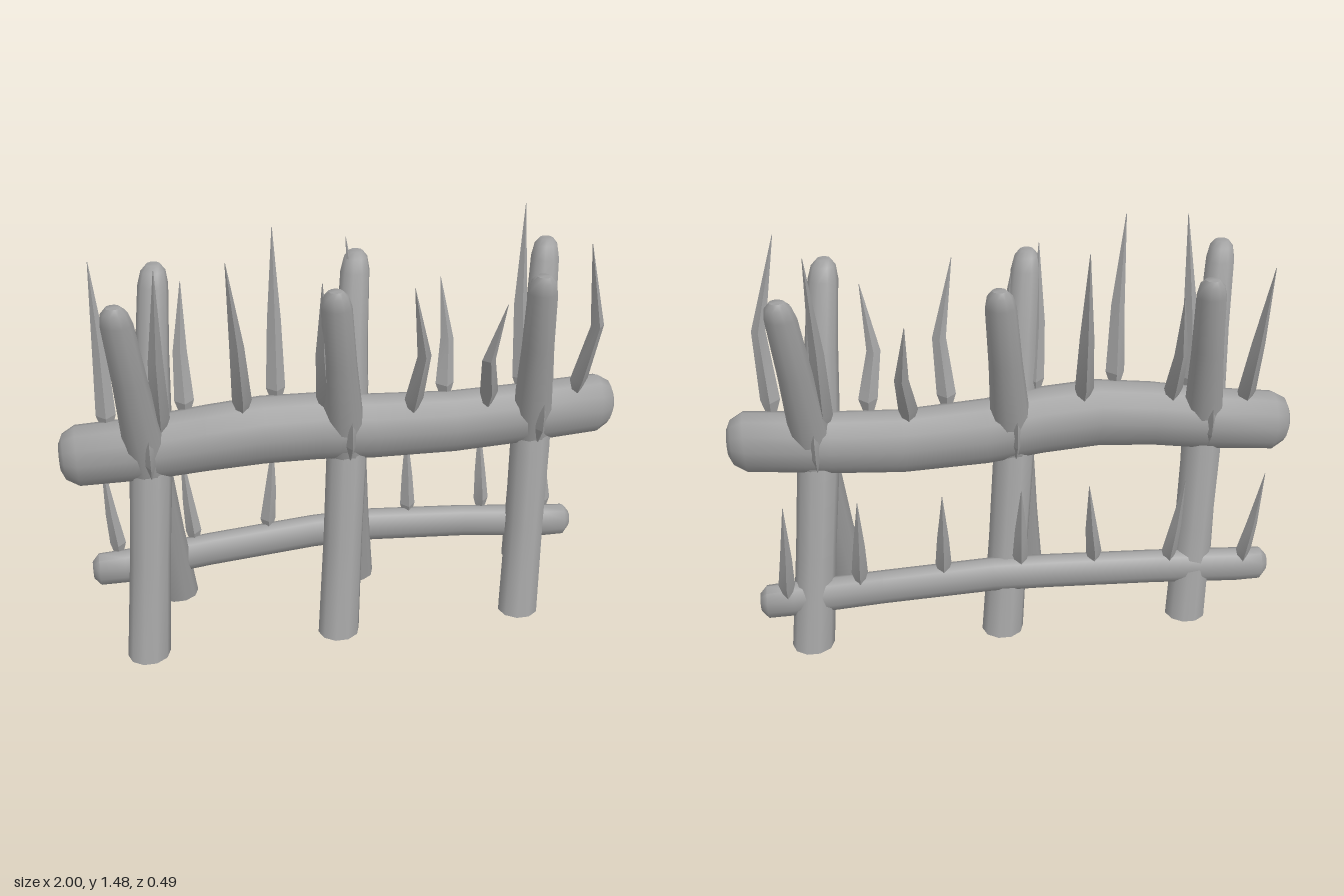
import * as THREE from 'three';
import { toCreasedNormals } from 'three/addons/utils/BufferGeometryUtils.js';

const wood = new THREE.MeshStandardMaterial({ color: 0xa0a0a0 });
wood.name = 'grey wood';

// Lofts elliptical rings along x or y. Each station: [x, y, z, radiusA, radiusB],
// where A is the y radius (axis x) or x radius (axis y), and B is the z radius.
function loft(name, axis, stations, sides, crease) {
  const pos = [], index = [], n = stations.length;
  for (const [x, y, z, a, b] of stations) {
    for (let i = 0; i < sides; i++) {
      const t = (i / sides) * Math.PI * 2;
      const p = a * Math.cos(t), q = b * Math.sin(t);
      if (axis === 'x') pos.push(x, y + p, z + q);
      else pos.push(x + p, y, z - q);
    }
  }
  for (let r = 0; r < n - 1; r++) {
    for (let i = 0; i < sides; i++) {
      const j = (i + 1) % sides;
      const a = r * sides + i, b = r * sides + j, c = a + sides, d = b + sides;
      index.push(a, b, d, a, d, c);
    }
  }
  // end caps
  const first = pos.length / 3;
  pos.push(...stations[0].slice(0, 3), ...stations[n - 1].slice(0, 3));
  for (let i = 0; i < sides; i++) {
    const j = (i + 1) % sides, top = (n - 1) * sides;
    index.push(first, j, i, first + 1, top + i, top + j);
  }
  const geo = new THREE.BufferGeometry();
  geo.setAttribute('position', new THREE.Float32BufferAttribute(pos, 3));
  geo.setIndex(index);
  const mesh = new THREE.Mesh(toCreasedNormals(geo, crease), wood);
  mesh.name = name;
  return mesh;
}

// Four-sided thorn through base, middle and tip
function spike(name, base, mid, tip, w) {
  const foot = [base[0], base[1] - 0.03, base[2], w * 0.4, w * 0.4];
  return loft(name, 'y', [
    foot,
    [base[0], base[1] + 0.03, base[2] + (mid[2] - base[2]) * 0.15, w, w],
    [...mid, w * 0.72, w * 0.72],
    [...tip, 0.001, 0.001],
  ], 4, 0.3);
}

// Pole leaning from its foot to its rounded top
function pole(name, x0, z0, x1, z1) {
  const rows = [[0, 0.076, 0.07], [0.35, 0.072, 0.069], [0.62, 0.074, 0.07], [0.82, 0.07, 0.066],
    [1.05, 0.058, 0.056], [1.28, 0.052, 0.05], [1.325, 0.042, 0.04], [1.345, 0.024, 0.024]];
  return loft(name, 'y', rows.map(([y, a, b]) => {
    const t = y / 1.345;
    return [x0 + (x1 - x0) * t, y, z0 + (z1 - z0) * t, a, b];
  }), 10, 0.9);
}

export function createModel() {
  const model = new THREE.Group();
  model.name = 'spikedBarricade';

  // Thick crooked top log
  model.add(loft('topLog', 'x', [
    [-1, 0.725, -0.03, 0.05, 0.04], [-0.985, 0.725, -0.03, 0.085, 0.065], [-0.94, 0.725, -0.03, 0.112, 0.088],
    [-0.7, 0.74, -0.01, 0.117, 0.092], [-0.5, 0.765, 0.005, 0.12, 0.098], [-0.3, 0.78, 0.01, 0.125, 0.1],
    [-0.1, 0.77, 0, 0.125, 0.098], [0.1, 0.745, -0.01, 0.122, 0.094], [0.4, 0.73, -0.015, 0.118, 0.088],
    [0.65, 0.74, -0.01, 0.115, 0.088], [0.94, 0.76, 0, 0.112, 0.085],
    [0.985, 0.76, 0, 0.085, 0.06], [1, 0.76, 0, 0.05, 0.04],
  ], 12, 0.9));

  // Thin lower rail behind
  model.add(loft('lowerRail', 'x', [
    [-0.94, 0.17, -0.14, 0.035, 0.025], [-0.915, 0.17, -0.14, 0.066, 0.046], [-0.82, 0.172, -0.14, 0.068, 0.05],
    [-0.5, 0.2, -0.15, 0.066, 0.05], [-0.1, 0.225, -0.16, 0.066, 0.05], [0.1, 0.23, -0.16, 0.066, 0.05],
    [0.5, 0.205, -0.15, 0.065, 0.05], [0.82, 0.175, -0.135, 0.068, 0.05],
    [0.915, 0.17, -0.135, 0.066, 0.046], [0.94, 0.17, -0.135, 0.035, 0.025],
  ], 10, 0.9));

  // Three crossed pairs of poles, with a wedge on each side
  for (const x of [-0.695, 0.003, 0.7]) {
    const pair = new THREE.Group();
    pair.name = 'crossedPoles';
    pair.add(pole('frontFootPole', x - 0.065, 0.178, x + 0.07, -0.185));
    pair.add(pole('backFootPole', x + 0.065, -0.178, x - 0.072, 0.185));
    for (const s of [-1, 1]) {
      pair.add(loft('wedge', 'y', [
        [x, 0.66, s * 0.07, 0.002, 0.01], [x, 0.72, s * 0.085, 0.017, 0.03],
        [x, 0.79, s * 0.088, 0.017, 0.03], [x, 0.85, s * 0.08, 0.002, 0.02],
      ], 4, 0.3));
    }
    model.add(pair);
  }

  // Top log thorns: base x, base y, middle x, tip x, tip y
  const front = [[-0.65, 0.85, -0.65, -0.635, 1.45], [-0.37, 0.89, -0.385, -0.415, 1.46],
    [-0.08, 0.88, -0.1, -0.11, 1.37], [0.235, 0.84, 0.25, 0.195, 1.33],
    [0.51, 0.84, 0.48, 0.515, 1.25], [0.845, 0.86, 0.865, 0.79, 1.44]];
  const back = [[-0.83, 0.83, -0.83, -0.84, 1.37], [-0.56, 0.86, -0.56, -0.54, 1.28],
    [-0.24, 0.88, -0.23, -0.22, 1.45], [0.06, 0.86, 0.06, 0.035, 1.4],
    [0.375, 0.84, 0.395, 0.38, 1.23], [0.665, 0.84, 0.665, 0.68, 1.48]];
  for (const [list, s, name] of [[front, 1, 'frontThorn'], [back, -1, 'backThorn']]) {
    for (const [x, y, mx, tx, ty] of list) {
      model.add(spike(name, [x, y, s * 0.04], [mx, y + (ty - y) * 0.45, s * 0.115], [tx, ty, s * 0.175], 0.034));
    }
  }

  // Lower rail thorns: base x, base y, tip x
  for (const [x, y, tx] of [[-0.84, 0.23, -0.87], [-0.555, 0.25, -0.58], [-0.27, 0.27, -0.235],
    [0, 0.28, 0.005], [0.28, 0.27, 0.28], [0.58, 0.26, 0.57], [0.84, 0.23, 0.82]]) {
    model.add(spike('railThorn', [x, y, -0.165], [x + (tx - x) * 0.45, y + 0.15, -0.185], [tx, 0.61, -0.215], 0.029));
  }
  return model;
}
